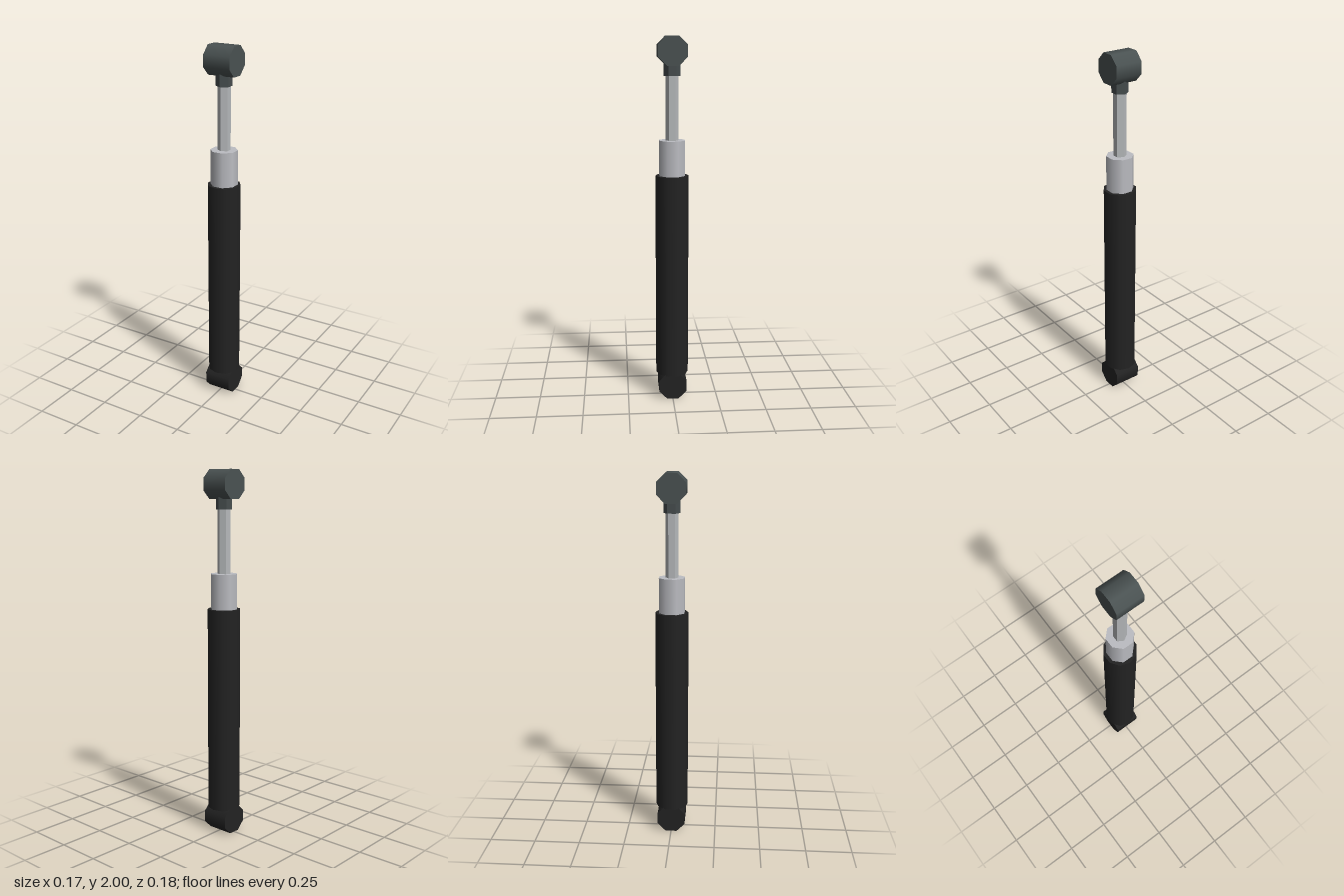
import * as THREE from 'three';

const mat = (name, color, flatShading = false) => {
  const m = new THREE.MeshStandardMaterial({ color });
  m.name = name;
  m.flatShading = flatShading;
  return m;
};

export function createModel() {
  const black = mat('black rubber', 0x232323);
  const slate = mat('slate metal', 0x4a5252);
  const silver = mat('silver metal', 0xbcbdc2);
  const steel = mat('rod steel', 0xb6b9bb, true);
  const slateFlat = mat('slate collar', 0x464d4e, true);
  const group = new THREE.Group();
  group.name = 'shockAbsorber';

  // Upright prism between two heights
  const upright = (name, radius, y0, y1, sides, material, turn = 0) => {
    const mesh = new THREE.Mesh(
      new THREE.CylinderGeometry(radius, radius, y1 - y0, sides, 1, false, turn), material);
    mesh.position.y = (y0 + y1) / 2;
    mesh.name = name;
    group.add(mesh);
  };

  // Octagonal mounting eye lying along x, with flats facing up and forward
  const half = 0.0765;
  const eye = (name, y, material) => {
    const r = half / Math.cos(Math.PI / 8);
    const geo = new THREE.CylinderGeometry(r, r, half * 2, 8, 1, false, Math.PI / 8);
    geo.rotateZ(Math.PI / 2);
    const mesh = new THREE.Mesh(geo, material);
    mesh.position.y = y;
    mesh.name = name;
    group.add(mesh);
  };

  eye('lowerEye', half, black);
  upright('body', 0.09, 0.137, 1.265, 10, black);
  upright('sleeve', 0.0736, 1.2, 1.455, 8, silver, Math.PI / 8);
  upright('rod', 0.0345, 1.4, 1.82, 6, steel);
  upright('collar', 0.0435, 1.793, 1.88, 6, slateFlat);
  eye('upperEye', 2 - half, slate);

  return group;
}
